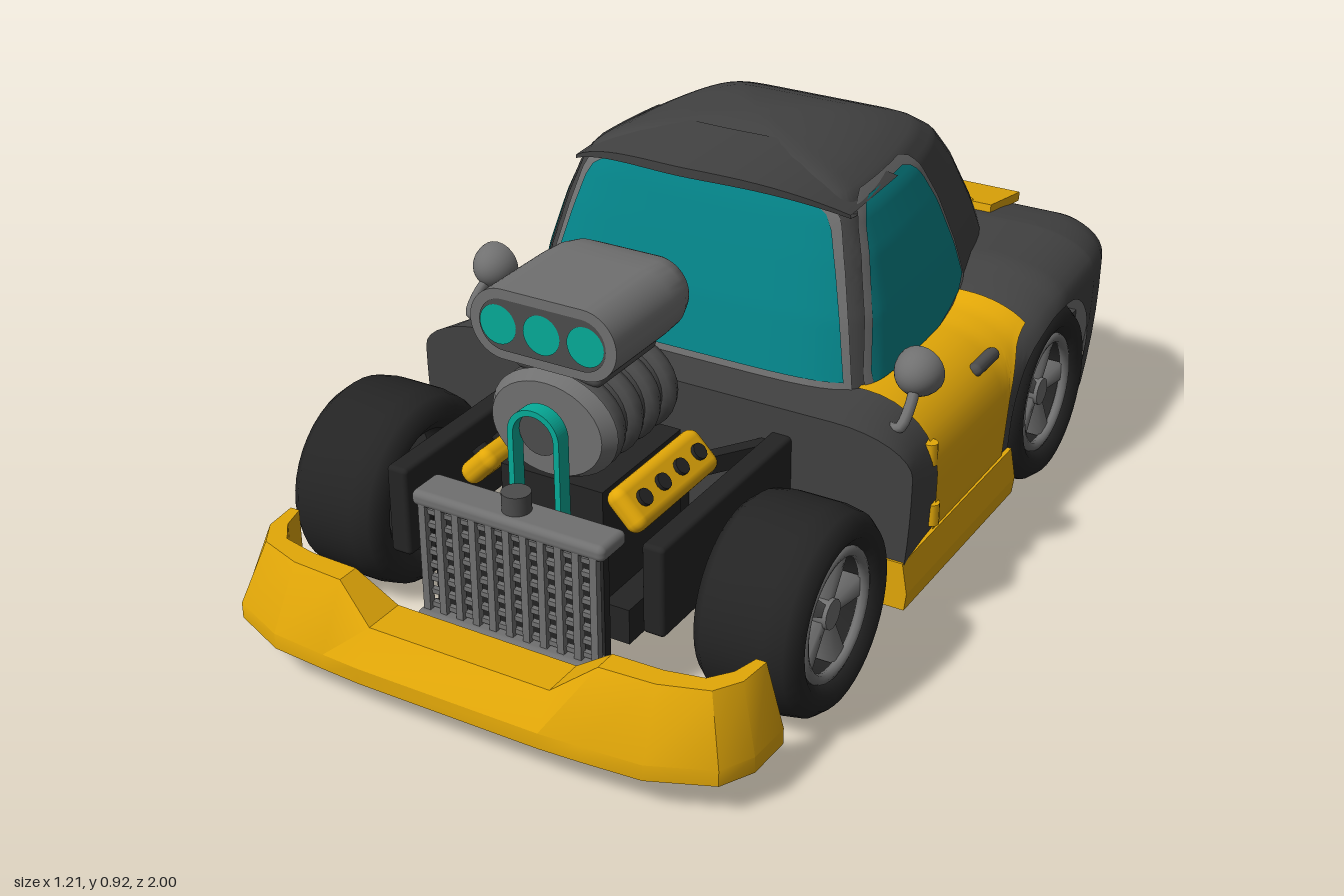
import * as THREE from 'three';
import { toCreasedNormals } from 'three/addons/utils/BufferGeometryUtils.js';
import { RoundedBoxGeometry } from 'three/addons/geometries/RoundedBoxGeometry.js';

const mat = (name, color) => Object.assign(
  new THREE.MeshStandardMaterial({ color, side: THREE.DoubleSide }), { name });

// Interpolates a table of rows [key, a, b, ...] with ascending keys
function at(table, k) {
  let i = 1;
  while (i < table.length - 1 && k > table[i][0]) i++;
  const p = table[i - 1], q = table[i];
  const t = THREE.MathUtils.clamp((k - p[0]) / (q[0] - p[0]), 0, 1);
  return p.slice(1).map((v, j) => v + (q[j + 1] - v) * t);
}

// Skins rows of points into a surface
function skin(rows, crease = 0.6) {
  const n = rows[0].length, index = [];
  for (let i = 0; i < rows.length - 1; i++) for (let j = 0; j < n - 1; j++) {
    const a = i * n + j, b = a + 1, c = a + n, d = c + 1;
    index.push(a, c, b, b, c, d);
  }
  const g = new THREE.BufferGeometry();
  g.setAttribute('position', new THREE.Float32BufferAttribute(rows.flat(2), 3));
  g.setIndex(index);
  return toCreasedNormals(g, crease);
}
const steps = (a, b, n) => Array.from({ length: n + 1 }, (_, i) => a + (b - a) * i / n);

function stadium(w, h) {
  const r = h / 2, d = w / 2 - r, s = new THREE.Shape();
  s.absarc(d, 0, r, -Math.PI / 2, Math.PI / 2);
  s.absarc(-d, 0, r, Math.PI / 2, Math.PI * 1.5);
  return s.closePath();
}

// Lower body: z -> top height, half width, height of the rounded shoulder
const BODY = [[-0.98, 0.475, 0.52, 0.08], [-0.95, 0.488, 0.545, 0.08], [-0.88, 0.505, 0.57, 0.08], [-0.78, 0.522, 0.59, 0.085],
  [-0.56, 0.525, 0.605, 0.085], [-0.46, 0.5, 0.6, 0.09], [-0.38, 0.47, 0.588, 0.13], [-0.3, 0.46, 0.58, 0.16],
  [0.08, 0.46, 0.582, 0.15], [0.22, 0.46, 0.6, 0.08]];
function halfSection(z, bottom, grow = 0, x0 = 0) {
  const [top, w, h] = at(BODY, z), T = top + grow, W = w + grow, pts = [[x0, T, z]];
  const low = Math.asin(THREE.MathUtils.clamp((bottom - T + h) / h, 0, 1)), edge = 0.42 + (W - 0.42) * Math.cos(low);
  for (const a of steps(Math.PI / 2, low, 8)) pts.push([0.42 + (W - 0.42) * Math.cos(a), T - h + h * Math.sin(a), z]);
  for (const y of steps(Math.max(T - h, bottom), bottom, 5).slice(1))
    pts.push([edge - 0.25 * Math.max(0, T - h - y) ** 2, y, z]);
  return pts;
}
const mirror = p => [-p[0], p[1], p[2]];
const arc = (z, r) => 0.215 + Math.sqrt(Math.max(0, r * r - (z + 0.56) ** 2));

// Cabin: y -> half width, front z, rear z, middle z
const CABIN = [[0.44, 0.428, 0.112, -0.815, -0.1], [0.6, 0.4, 0.075, -0.738, -0.1], [0.72, 0.367, 0.04, -0.67, -0.1],
  [0.8, 0.337, 0.015, -0.605, -0.1], [0.84, 0.312, 0, -0.54, -0.1], [0.87, 0.26, -0.02, -0.46, -0.12],
  [0.89, 0.2, -0.05, -0.395, -0.14], [0.905, 0.13, -0.1, -0.33, -0.17], [0.917, 0, -0.21, -0.21, -0.21]];
const FRONT = 5, REAR = 10;
const root = (v, p) => Math.max(0, 1 - Math.abs(v) ** p) ** (1 / p);
const taper = t => 1 - 0.22 * t * t;
const sideSurface = s => (z, y, o) => {
  const [w, f, r, c] = at(CABIN, y), t = z > c ? (z - c) / (f - c) : (z - c) / (r - c);
  return [s * (w * (z > c ? root(t, FRONT) : taper(t) * root(t, REAR)) + o), y, z];
};
const frontSurface = (x, y, o) => { const [w, f, , c] = at(CABIN, y); return [x, y, c + (f - c) * root(x / w, FRONT) + o]; };
const rearSurface = (x, y, o) => {
  const [w, , r, c] = at(CABIN, y);
  let lo = 0, hi = 1;
  for (let i = 0; i < 24; i++) {
    const t = (lo + hi) / 2;
    if (taper(t) * root(t, REAR) > Math.abs(x) / w) lo = t; else hi = t;
  }
  return [x, y, c + (r - c) * lo - o];
};

// Pane on the cabin surface: rows of [y, from, to]
function pane(rows, surface, offset, grow) {
  const y0 = rows[0][0], y1 = rows[rows.length - 1][0], mid = (y0 + y1) / 2;
  return skin(steps(y0, y1, 28).map(y => {
    const [a, b] = at(rows, y), s = Math.sign(b - a);
    return steps(a - s * grow, b + s * grow, 24).map(u => surface(u, mid + (y - mid) * (1 + 2 * grow / (y1 - y0)), offset));
  }), 1);
}

export function createModel() {
  const M = {
    body: mat('charcoal paint', 0x424242), black: mat('black rubber', 0x242424), grey: mat('grey metal', 0x707070),
    dark: mat('dark metal', 0x4c4c4c), yellow: mat('yellow paint', 0xe3a808), glass: mat('teal glass', 0x048489),
    teal: mat('bright teal', 0x06ab98), red: mat('red lamp', 0xcc3a1e) };
  const model = new THREE.Group();
  const add = (name, geo, m, pos = [0, 0, 0], rot = [0, 0, 0], parent = model) => {
    const mesh = new THREE.Mesh(geo, m);
    mesh.name = name; mesh.position.set(...pos); mesh.rotation.set(...rot);
    parent.add(mesh);
    return mesh;
  };
  const box = (name, m, w, h, d, pos, rot) => add(name, new THREE.BoxGeometry(w, h, d), m, pos, rot);
  const round = (name, m, w, h, d, r, pos, rot) => add(name, new RoundedBoxGeometry(w, h, d, 3, r), m, pos, rot);
  const cyl = (r, h, n = 24) => new THREE.CylinderGeometry(r, r, h, n);
  const both = fn => [1, -1].forEach(fn);
  const X = [0, 0, Math.PI / 2], Z = [Math.PI / 2, 0, 0];

  // Lower body with wheel arches, closed at both ends
  const stations = [...steps(0.22, -0.335, 10).map(z => [z, 0.12]),
    ...steps(0, Math.PI, 24).map(a => { const z = -0.56 + 0.225 * Math.cos(a); return [z, arc(z, 0.225)]; }),
    [-0.785, 0.07], [-0.81, 0.07], [-0.88, 0.09], [-0.95, 0.12], [-0.98, 0.13]];
  const rings = stations.map(([z, b]) => { const h = halfSection(z, b); return [...h.map(mirror).reverse(), ...h]; });
  add('bodyShell', skin(rings), M.body);
  for (const [name, ring] of [['firewall', rings[0]], ['rearPanel', rings[rings.length - 1]]])
    add(name, skin([ring, ring.map(p => [p[0] * 0.5, Math.min(p[1], 0.4), p[2]]), ring.map(p => [0, 0.14, p[2]])]), M.body);

  // Cabin and roof
  add('cabin', skin(steps(0.44, 0.917, 53).map(y => {
    const [w, f, r, c] = at(CABIN, y);
    return steps(0, Math.PI * 2, 144).map(a => {
      const co = Math.cos(a), si = Math.sin(a), p = si > 0 ? FRONT : REAR;
      const k = (Math.abs(co) ** p + Math.abs(si) ** p) ** (-1 / p), t = si * k;
      return [w * co * k * (t < 0 ? taper(t) : 1), y, c + t * (t > 0 ? f - c : c - r)];
    });
  }), 1), M.body);
  add('roofVisor', skin(steps(-0.335, 0.335, 24).map(x => {
    const k = Math.abs(x / 0.335), y = 0.9 - 0.085 * k ** 2.5, z = 0.125 - 0.13 * k * k, d = 0.045 - 0.025 * k * k;
    return [[x, y + 0.008, z - 0.22], [x, y - 0.002, z], [x, y - d / 2, z], [x, y - d, z - 0.1], [x, y - d, z - 0.2]];
  })), M.body);

  // Windows and their frames
  const windows = (name, rows, surface) => {
    add(name + 'Frame', pane(rows, surface, 0.004, 0.016), M.grey);
    add(name, pane(rows, surface, 0.007, 0), M.glass);
  };
  const mirrored = rows => rows.map(([y, x]) => [y, -x, x]);
  windows('windshield', mirrored([[0.475, 0.372], [0.6, 0.348], [0.7, 0.323], [0.78, 0.3], [0.815, 0.28], [0.835, 0.23], [0.848, 0.12]]), frontSurface);
  windows('rearWindow', mirrored([[0.535, 0.27], [0.545, 0.295], [0.755, 0.24], [0.775, 0.228], [0.782, 0.2]]), rearSurface);
  both(s => windows('sideWindow', [[0.468, 0.035, -0.28], [0.49, 0.037, -0.41], [0.52, 0.03, -0.455], [0.6, 0.01, -0.43],
    [0.7, -0.018, -0.395], [0.78, -0.045, -0.355], [0.81, -0.065, -0.325], [0.825, -0.1, -0.28]], sideSurface(s)));

  both(s => {
    // Door, hinges, handle and sill skirt
    const rows = steps(0.07, -0.425, 30).map(z => halfSection(z, Math.max(0.16, z < -0.3 ? arc(z, 0.27) : 0), 0.006, 0.4));
    add('door', skin(rows.map(r => r.map(p => [s * p[0], p[1], p[2]]))), M.yellow);
    for (const [x, y] of [[0.57, 0.36], [0.58, 0.22]]) add('doorHinge', cyl(0.016, 0.05, 12), M.yellow, [s * x, y, 0.07]);
    round('doorHandle', M.dark, 0.04, 0.03, 0.115, 0.014, [s * 0.537, 0.415, -0.26], [0, 0, s * 0.5]);
    const skirt = new THREE.Shape([[0.48, 0.07], [0.595, 0.07], [0.6, 0.11], [0.588, 0.18], [0.48, 0.18]].map(([x, y]) => new THREE.Vector2(s * x, y)));
    add('sideSkirt', new THREE.ExtrudeGeometry(skirt, { depth: 0.56, bevelEnabled: false }), M.yellow, [0, 0, -0.335]);

    // Mirror on a bent stalk
    const stalk = new THREE.CatmullRomCurve3([[0.5, 0.43, 0.13], [0.53, 0.44, 0.14], [0.535, 0.48, 0.1], [0.525, 0.51, 0.06]].map(([x, y, z]) => new THREE.Vector3(s * x, y, z)));
    add('mirrorStalk', new THREE.TubeGeometry(stalk, 12, 0.012, 8), M.grey);
    add('mirrorShell', new THREE.SphereGeometry(0.054, 24, 12, 0, Math.PI * 2, 0, Math.PI / 2), M.grey, [s * 0.525, 0.525, 0.035], Z).scale.y = 1.2;
    add('mirrorGlass', cyl(0.047, 0.008), M.teal, [s * 0.525, 0.525, 0.033], Z);

    // Tail lamps
    for (const [name, r, z, m] of [['tailLampRim', 0.05, -0.968, M.grey], ['tailLamp', 0.037, -0.979, M.red]])
      add(name, new THREE.CapsuleGeometry(r, 0.145, 6, 16), m, [s * 0.395, 0.348, z], [0, s * 0.06, Math.PI / 2]).scale.z = 0.45;

    // Frame rails, struts and valve covers
    round('frontRail', M.black, 0.05, 0.2, 0.54, 0.01, [s * 0.3, 0.3, 0.46]);
    box('chassisRail', M.black, 0.06, 0.08, 1.25, [s * 0.15, 0.12, 0]);
    box('strut', M.black, 0.03, 0.04, 0.2, [s * 0.225, 0.36, 0.29], [0, -s * 0.6, 0]);
    const cover = new THREE.Group();
    cover.name = 'valveCover'; cover.position.set(s * 0.175, 0.385, 0.48); cover.rotation.z = -s * 0.8;
    add('coverBody', new RoundedBoxGeometry(0.1, 0.05, 0.31, 3, 0.022), M.yellow, [0, 0, 0], [0, 0, 0], cover);
    for (let i = 0; i < 4; i++) add('coverBolt', cyl(0.018, 0.02, 12), M.black, [0, 0.024, -0.105 + i * 0.07], [0, 0, 0], cover);
    model.add(cover);
  });

  // Wheels
  const tyre = new THREE.LatheGeometry([[0.135, -0.09], [0.16, -0.112], [0.188, -0.114], [0.208, -0.09], [0.215, -0.05], [0.215, 0.05],
    [0.208, 0.09], [0.188, 0.114], [0.16, 0.112], [0.135, 0.09], [0.13, 0], [0.135, -0.09]].map(p => new THREE.Vector2(...p)), 40);
  const spoke = new THREE.CylinderGeometry(0.03, 0.018, 0.1, 4, 1).rotateY(Math.PI / 4).rotateZ(-Math.PI / 2);
  for (const [z, x] of [[0.51, 0.485], [-0.56, 0.475]]) both(s => {
    const wheel = new THREE.Group();
    wheel.name = z > 0 ? 'frontWheel' : 'rearWheel';
    wheel.position.set(s * x, 0.215, z); wheel.rotation.z = -s * Math.PI / 2;
    add('tyre', tyre, M.black, [0, 0, 0], [0, 0, 0], wheel);
    add('rimLip', new THREE.TorusGeometry(0.13, 0.012, 8, 36), M.grey, [0, 0.092, 0], Z, wheel);
    add('rimBack', cyl(0.13, 0.02, 32), M.dark, [0, 0.01, 0], [0, 0, 0], wheel);
    add('hub', cyl(0.032, 0.09, 16), M.grey, [0, 0.045, 0], [0, 0, 0], wheel);
    add('innerHub', cyl(0.05, 0.12, 16), M.dark, [0, -0.075, 0], [0, 0, 0], wheel);
    for (let i = 0; i < 5; i++) {
      const a = i * Math.PI * 0.4 + 0.3;
      add('spoke', spoke, M.grey, [0.075 * Math.cos(a), 0.068, -0.075 * Math.sin(a)], [0, a, 0], wheel);
    }
    model.add(wheel);
  });

  // Chassis
  box('floor', M.black, 0.78, 0.03, 0.53, [0, 0.14, -0.06]);
  box('rearWell', M.black, 0.7, 0.28, 0.6, [0, 0.3, -0.63]);
  box('gearbox', M.black, 0.16, 0.14, 0.5, [0, 0.16, 0.1]);
  add('rearAxle', cyl(0.025, 0.8, 12), M.black, [0, 0.215, -0.56], X);

  // Engine, blower and belt
  box('engineBlock', M.black, 0.24, 0.28, 0.3, [0, 0.27, 0.47]);
  add('blower', cyl(0.1, 0.27, 32), M.dark, [0, 0.525, 0.485], Z).scale.x = 1.25;
  for (let i = 0; i < 4; i++)
    add('blowerRib', new THREE.TorusGeometry(0.088, 0.028, 10, 32), M.dark, [0, 0.525, 0.375 + i * 0.066]).scale.x = 1.25;
  add('blowerFace', new THREE.CylinderGeometry(0.1, 0.115, 0.03, 36), M.grey, [0, 0.525, 0.615], Z).scale.x = 1.28;
  add('blowerPulley', cyl(0.047, 0.03), M.dark, [0, 0.525, 0.64], Z);
  const belt = stadium(0.335, 0.12);
  belt.holes.push(stadium(0.309, 0.094));
  add('belt', new THREE.ExtrudeGeometry(belt, { depth: 0.035, bevelEnabled: false, curveSegments: 20 }), M.teal, [0, 0.418, 0.643], X);

  // Intake scoop with three openings
  round('scoopNeck', M.dark, 0.2, 0.06, 0.22, 0.015, [0, 0.645, 0.48]);
  const outline = stadium(0.335, 0.15).getPoints(14);
  add('scoop', skin([[0.633, 1], [0.42, 1], [0.37, 0.98], [0.335, 0.9], [0.315, 0.77], [0.307, 0.6], [0.305, 0]].map(([z, k]) =>
    outline.map(p => [p.x * k, 0.73 + p.y * k, z])), 0.8), M.grey);
  add('scoopRim', new THREE.ShapeGeometry(stadium(0.335, 0.15), 14), M.grey, [0, 0.73, 0.633]);
  add('scoopFace', new THREE.ShapeGeometry(stadium(0.29, 0.11), 14), M.dark, [0, 0.73, 0.635]);
  for (const x of [-0.1, 0, 0.1]) add('scoopOpening', new THREE.CircleGeometry(0.042, 28), M.teal, [x, 0.73, 0.637]);

  // Radiator and grille
  box('radiatorCore', M.black, 0.4, 0.25, 0.02, [0, 0.24, 0.735]);
  round('radiatorTop', M.grey, 0.45, 0.035, 0.09, 0.014, [0, 0.382, 0.74]);
  round('radiatorBottom', M.grey, 0.44, 0.04, 0.07, 0.015, [0, 0.11, 0.765]);
  add('radiatorCap', cyl(0.03, 0.05), M.dark, [0, 0.415, 0.74]);
  for (const x of steps(-0.2, 0.2, 10)) box('grilleBar', M.grey, 0.016, 0.27, 0.016, [x, 0.24, 0.775]);
  for (const y of steps(0.14, 0.355, 7)) box('grilleCrossbar', M.grey, 0.41, 0.011, 0.012, [0, y, 0.768]);

  // Front bumper: outer xz, crest xz, inner xz, top height
  const half = [[0.6, 0.755, 0.562, 0.755, 0.54, 0.755, 0.245], [0.597, 0.86, 0.555, 0.83, 0.525, 0.81, 0.245],
    [0.56, 0.93, 0.52, 0.885, 0.49, 0.855, 0.245], [0.43, 0.985, 0.42, 0.918, 0.41, 0.872, 0.245],
    [0.3, 0.995, 0.3, 0.925, 0.3, 0.875, 0.245], [0.21, 1, 0.21, 0.955, 0.21, 0.862, 0.18]]
    .map(([ox, oz, tx, tz, ix, iz, h]) => [[ix, 0.075, iz], [ox, 0.075, oz], [ox, 0.11, oz], [tx, h, tz], [ix, h, iz], [ix, 0.075, iz]]);
  const left = [half[0].map(() => [0.57, 0.14, 0.755]), ...half];
  add('frontBumper', skin([...left, ...left.map(r => r.map(mirror)).reverse()], 0.5), M.yellow);

  // Rear deck, number recess, diffuser
  box('rearSpoiler', M.yellow, 0.62, 0.022, 0.18, [0, 0.51, -0.895], [-0.17, 0, 0]);
  both(s => round('deckHinge', M.yellow, 0.06, 0.025, 0.035, 0.01, [s * 0.23, 0.528, -0.81]));
  box('plateRecess', M.black, 0.34, 0.09, 0.008, [0, 0.385, -0.982]);
  box('diffuserBack', M.black, 0.54, 0.15, 0.008, [0, 0.2, -0.982]);
  for (const x of steps(-0.24, 0.24, 11)) box('diffuserFin', M.body, 0.016, 0.17, 0.16, [x, 0.185, -0.918]);
  both(s => { for (const x of steps(0.31, 0.47, 3)) box('sideFin', M.body, 0.02, 0.12, 0.09, [s * x, 0.17, -0.95]); });
  box('underPlate', M.yellow, 0.44, 0.012, 0.14, [0, 0.095, -0.75], [0.15, 0, 0]);

  return model;
}
